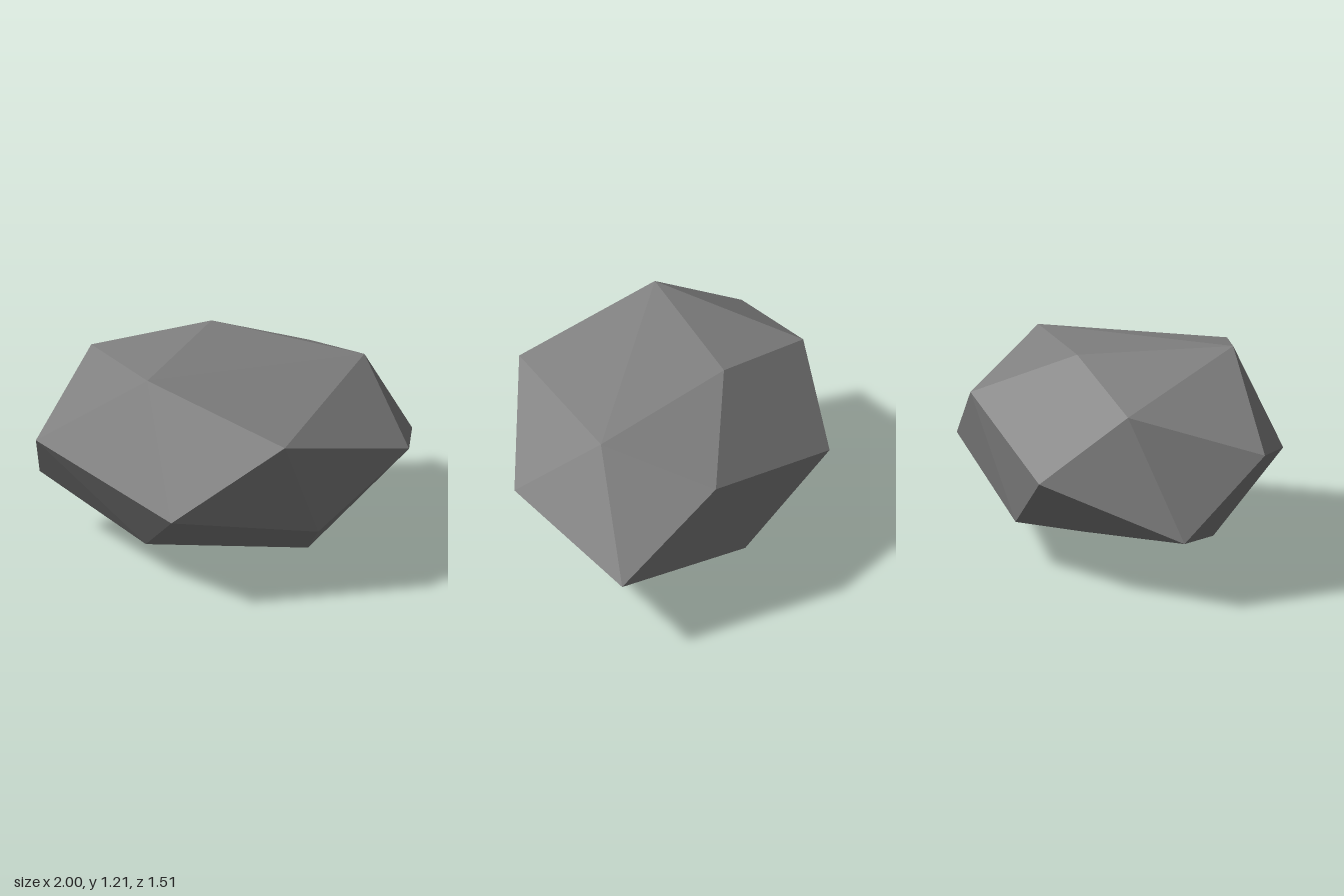
import * as THREE from 'three';
import { ConvexGeometry } from 'three/addons/geometries/ConvexGeometry.js';

// Corner points of the faceted stone, x, y, z
const CORNERS = [
  // upper ring and crown
  [-0.43, 1.21, 0.385], [-0.05, 1.175, -0.33], [0.73, 1.07, -0.105],
  [0.26, 0.985, 0.755], [-0.67, 1.025, -0.39], [0.48, 0.87, -0.66],
  // girdle
  [-1.0, 0.805, 0.24], [0.935, 0.72, 0.3], [-0.39, 0.64, -0.76],
  [-0.33, 0.56, 0.745], [1.0, 0.455, -0.435], [-0.95, 0.385, -0.215],
  // underside
  [0.45, 0.35, 0.49], [0.13, 0.25, -0.595], [-0.43, 0.19, 0.265],
  [0.43, 0.0, 0.0],
];

export function createModel() {
  const group = new THREE.Group();
  group.name = 'rock';

  const stone = new THREE.MeshStandardMaterial({ color: 0x808080 });
  stone.name = 'stone grey';
  stone.flatShading = true;

  // The stone is the convex skin around its corners
  const points = CORNERS.map((p) => new THREE.Vector3(...p));
  const body = new THREE.Mesh(new ConvexGeometry(points), stone);
  body.name = 'stoneBody';
  group.add(body);

  return group;
}
